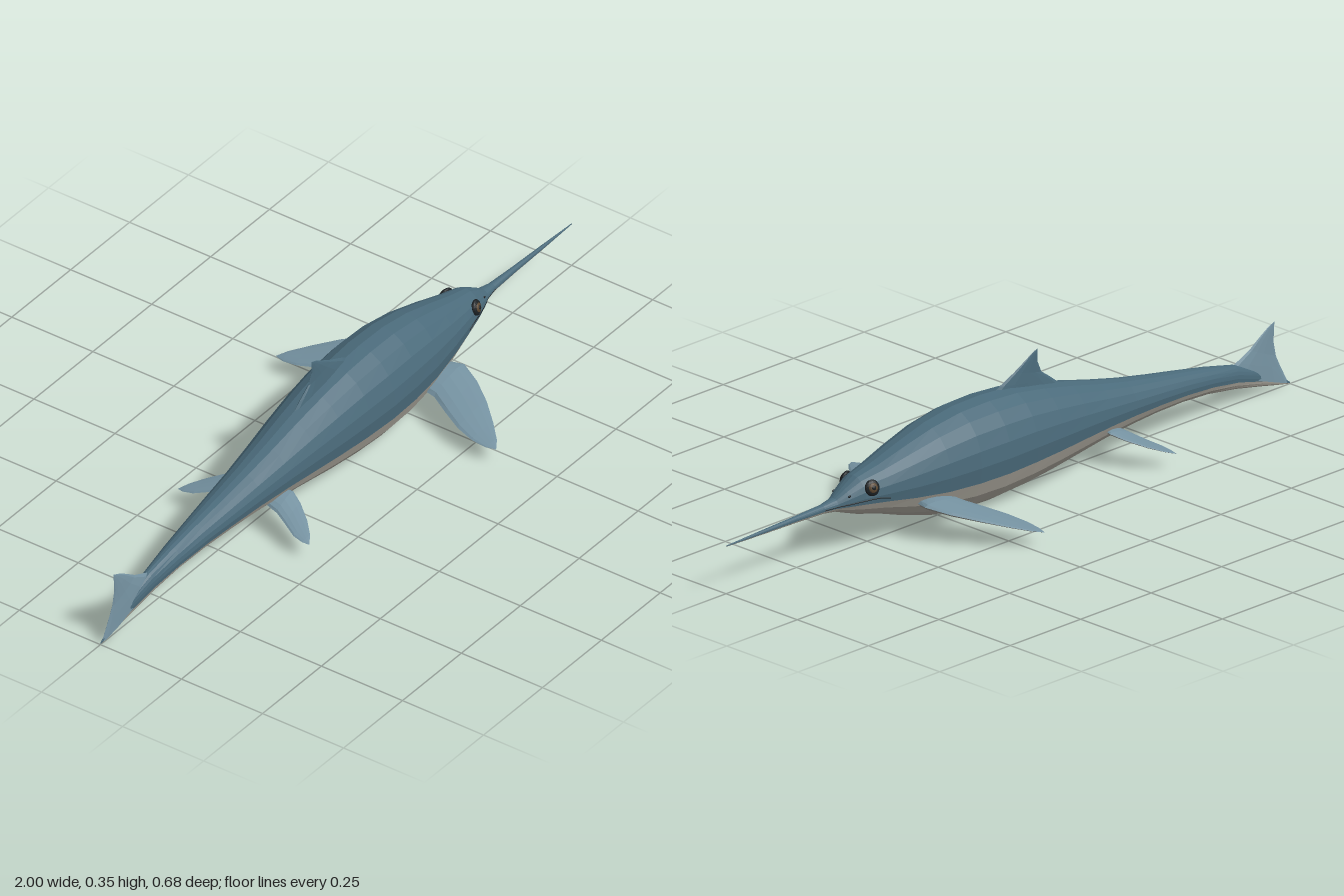
import * as THREE from 'three';

const V = (x, y, z) => new THREE.Vector3(x, y, z);
const SIDES = 20;

const paint = (color) => new THREE.MeshStandardMaterial({ color, flatShading: true });
const mats = {
  back: paint(0x4a6a7a),
  belly: paint(0xa8a49a),
  fin: paint(0x7491a0),
  finUnder: paint(0x8f908b),
  dark: paint(0x1b2023),
  iris: paint(0x5a4630),
};

// Body stations from tail to beak: x, top, bottom, half width
const STATIONS = [
  [-1, 0.008, 0.003, 0.001], [-0.95, 0.043, 0.013, 0.006], [-0.9, 0.07, 0.024, 0.01],
  [-0.8, 0.11, 0.045, 0.02], [-0.7, 0.132, 0.06, 0.03], [-0.6, 0.15, 0.066, 0.04],
  [-0.5, 0.167, 0.066, 0.051], [-0.4, 0.186, 0.06, 0.061], [-0.3, 0.209, 0.05, 0.073],
  [-0.2, 0.235, 0.036, 0.086], [-0.1, 0.258, 0.022, 0.098], [0, 0.276, 0.011, 0.107],
  [0.1, 0.283, 0.005, 0.111], [0.2, 0.281, 0.007, 0.108], [0.3, 0.265, 0.02, 0.098],
  [0.4, 0.237, 0.047, 0.081], [0.48, 0.212, 0.074, 0.064], [0.55, 0.195, 0.092, 0.047],
  [0.59, 0.172, 0.106, 0.033], [0.62, 0.153, 0.117, 0.02], [0.66, 0.146, 0.122, 0.012],
  [0.75, 0.142, 0.124, 0.008], [0.88, 0.137, 0.126, 0.005], [1, 0.132, 0.129, 0.001],
];

// Body section at any x
function sectionAt(x) {
  let i = 0;
  while (i < STATIONS.length - 2 && STATIONS[i + 1][0] < x) i++;
  const a = STATIONS[i], b = STATIONS[i + 1], t = (x - a[0]) / (b[0] - a[0]);
  const [top, bottom, w] = [1, 2, 3].map((k) => THREE.MathUtils.lerp(a[k], b[k], t));
  return { yc: (top + bottom) / 2, h: (top - bottom) / 2, w };
}

// Point on the skin at a given x and height, on the +z side
function skin(x, y, lift = 0) {
  const { yc, h, w } = sectionAt(x);
  const s = THREE.MathUtils.clamp((y - yc) / h, -1, 1);
  return V(x, y, w * Math.sqrt(1 - s * s) + lift);
}

// Skin over rings of points, covering ring segments from..to
function loft(rings, from, to, material, name) {
  const pos = [], n = rings[0].length;
  const at = (i, j) => rings[i][((j % n) + n) % n];
  for (let i = 0; i < rings.length - 1; i++) {
    for (let j = from; j < to; j++) {
      const a = at(i, j), b = at(i + 1, j), c = at(i + 1, j + 1), d = at(i, j + 1);
      for (const p of [a, b, c, a, c, d]) pos.push(p.x, p.y, p.z);
    }
  }
  const geo = new THREE.BufferGeometry();
  geo.setAttribute('position', new THREE.Float32BufferAttribute(pos, 3));
  geo.computeVertexNormals();
  const mesh = new THREE.Mesh(geo, material);
  mesh.name = name;
  return mesh;
}

// Lens-shaped fin rings from stations [leading point, trailing point, half thickness]
function finRings(stations, axis) {
  return stations.map(([lead, trail, thick]) => {
    const mid = lead.clone().add(trail).multiplyScalar(0.5);
    const half = lead.clone().sub(mid);
    return Array.from({ length: 12 }, (_, k) => {
      const a = (k / 12) * Math.PI * 2;
      return mid.clone().addScaledVector(half, Math.cos(a)).addScaledVector(axis, thick * Math.sin(a));
    });
  });
}

// Horizontal flipper: darker top, pale underside
function flipper(stations, name) {
  const g = new THREE.Group();
  const rings = finRings(stations, V(0, -1, 0));
  g.add(loft(rings, 6, 12, mats.fin, name + 'Top'), loft(rings, 0, 6, mats.finUnder, name + 'Underside'));
  g.name = name;
  return g;
}

function ball(material, name, p, sx, sy, sz) {
  const m = new THREE.Mesh(new THREE.SphereGeometry(1, 14, 10), material);
  m.position.copy(p);
  m.scale.set(sx, sy, sz);
  m.name = name;
  return m;
}

// Flippers, eye, nostril and mouth of one side
function buildSide() {
  const g = new THREE.Group();
  g.add(flipper([
    [V(0.39, 0.092, 0.07), V(0.27, 0.077, 0.07), 0.016],
    [V(0.4, 0.094, 0.105), V(0.265, 0.074, 0.11), 0.014],
    [V(0.372, 0.083, 0.165), V(0.238, 0.064, 0.165), 0.011],
    [V(0.33, 0.071, 0.225), V(0.214, 0.054, 0.22), 0.008],
    [V(0.282, 0.057, 0.28), V(0.202, 0.046, 0.272), 0.005],
    [V(0.24, 0.046, 0.322), V(0.203, 0.041, 0.312), 0.003],
    [V(0.212, 0.04, 0.34), V(0.212, 0.04, 0.34), 0],
  ], 'frontFlipper'));
  g.add(flipper([
    [V(-0.29, 0.092, 0.045), V(-0.355, 0.075, 0.045), 0.01],
    [V(-0.285, 0.09, 0.075), V(-0.362, 0.07, 0.08), 0.008],
    [V(-0.302, 0.078, 0.11), V(-0.376, 0.06, 0.115), 0.006],
    [V(-0.335, 0.062, 0.155), V(-0.394, 0.049, 0.155), 0.004],
    [V(-0.367, 0.05, 0.187), V(-0.397, 0.044, 0.184), 0.002],
    [V(-0.393, 0.042, 0.203), V(-0.393, 0.042, 0.203), 0],
  ], 'rearFlipper'));

  const eye = new THREE.Group();
  eye.name = 'eye';
  eye.add(
    ball(mats.dark, 'eyeRim', V(0, 0, 0), 0.021, 0.021, 0.009),
    ball(mats.iris, 'iris', V(0, 0, 0.004), 0.014, 0.014, 0.007),
    ball(mats.dark, 'pupil', V(0, 0, 0.008), 0.007, 0.007, 0.004),
  );
  eye.position.copy(skin(0.53, 0.168, 0.001));
  eye.rotation.set(-0.3, 0.25, 0);
  g.add(eye);

  g.add(ball(mats.dark, 'nostril', skin(0.59, 0.156), 0.005, 0.003, 0.002));

  const line = [[0.48, 0.131], [0.51, 0.137], [0.55, 0.138], [0.59, 0.136], [0.62, 0.134], [0.66, 0.133]];
  const path = new THREE.CatmullRomCurve3(line.map(([x, y]) => skin(x, y)));
  const mouth = new THREE.Mesh(new THREE.TubeGeometry(path, 24, 0.0014, 5), mats.dark);
  mouth.name = 'mouthLine';
  g.add(mouth);
  return g;
}

export function createModel() {
  const model = new THREE.Group();
  model.name = 'marineReptile';

  // Body: blue back and flanks, pale belly
  const rings = STATIONS.map(([x]) => {
    const { yc, h, w } = sectionAt(x);
    return Array.from({ length: SIDES }, (_, k) => {
      const a = (k / SIDES) * Math.PI * 2;
      return V(x, yc + h * Math.sin(a), w * Math.cos(a));
    });
  });
  model.add(loft(rings, -1, 11, mats.back, 'bodyBack'), loft(rings, 11, 19, mats.belly, 'bodyBelly'));

  // Upright fins on the midline
  const dorsal = finRings([
    [V(0.06, 0.268, 0), V(-0.2, 0.222, 0), 0.012],
    [V(0.03, 0.286, 0), V(-0.155, 0.258, 0), 0.009],
    [V(-0.02, 0.308, 0), V(-0.118, 0.285, 0), 0.006],
    [V(-0.06, 0.329, 0), V(-0.105, 0.315, 0), 0.004],
    [V(-0.085, 0.343, 0), V(-0.105, 0.337, 0), 0.002],
    [V(-0.105, 0.35, 0), V(-0.105, 0.35, 0), 0],
  ], V(0, 0, 1));
  const tail = finRings([
    [V(-0.76, 0.09, 0), V(-0.995, 0.006, 0), 0.012],
    [V(-0.81, 0.113, 0), V(-0.968, 0.055, 0), 0.009],
    [V(-0.855, 0.133, 0), V(-0.95, 0.092, 0), 0.006],
    [V(-0.892, 0.158, 0), V(-0.942, 0.13, 0), 0.004],
    [V(-0.92, 0.175, 0), V(-0.943, 0.163, 0), 0.002],
    [V(-0.945, 0.186, 0), V(-0.945, 0.186, 0), 0],
  ], V(0, 0, 1));
  model.add(loft(dorsal, 0, 12, mats.back, 'dorsalFin'), loft(tail, 0, 12, mats.fin, 'tailFin'));

  // Paired parts, mirrored across the midline
  for (const s of [1, -1]) {
    const side = buildSide();
    side.scale.z = s;
    side.name = s > 0 ? 'nearSideParts' : 'farSideParts';
    model.add(side);
  }
  return model;
}
